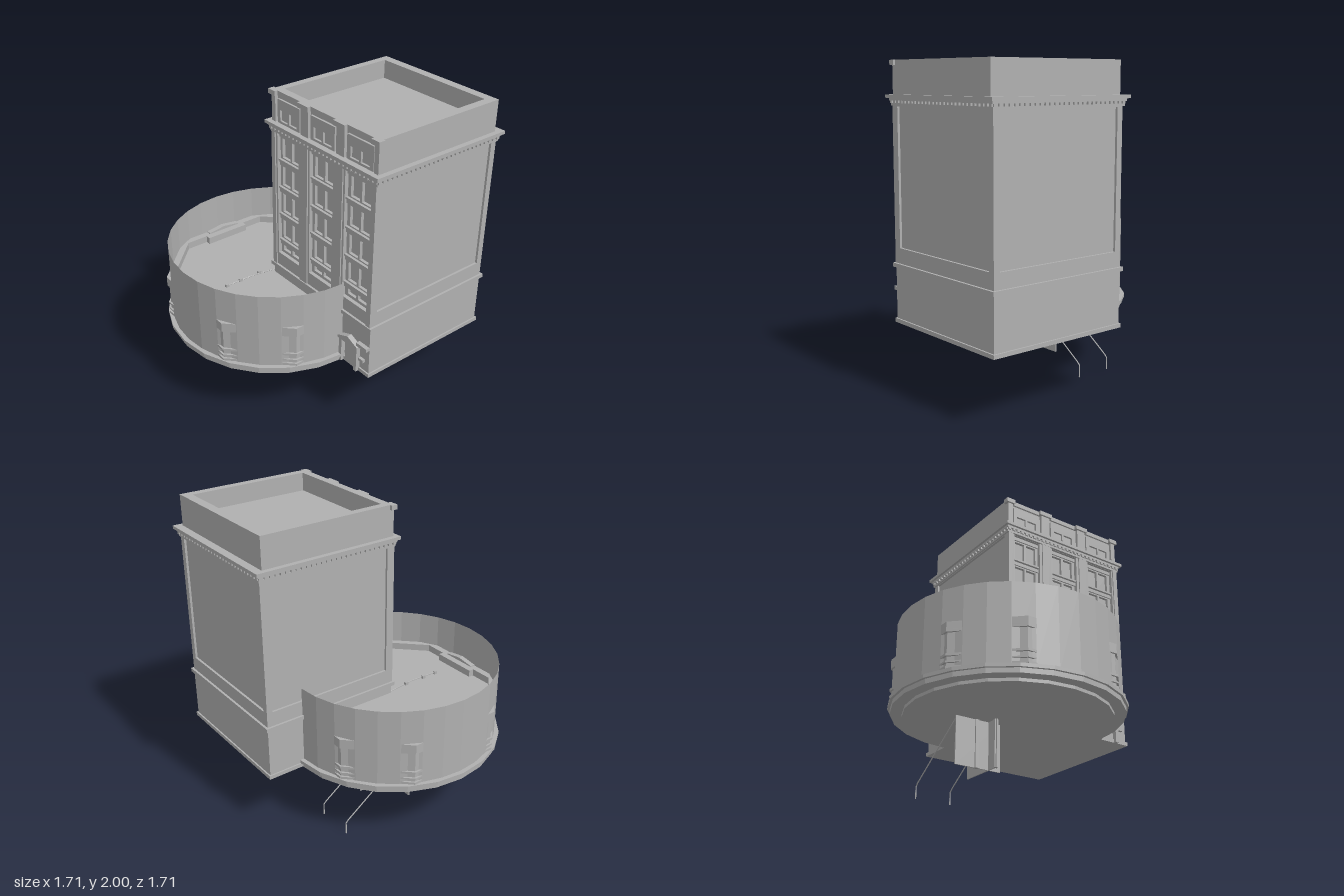
import * as THREE from 'three';

const stone = new THREE.MeshStandardMaterial({ color: 0xb0b0b0, flatShading: true, side: THREE.DoubleSide });
stone.name = 'stone grey';

function add(parent, name, geometry, x = 0, y = 0, z = 0) {
  const mesh = new THREE.Mesh(geometry, stone);
  mesh.name = name;
  mesh.position.set(x, y, z);
  parent.add(mesh);
  return mesh;
}

// Box given by its minimum and maximum on each axis
function block(parent, name, x0, x1, y0, y1, z0, z1) {
  return add(parent, name, new THREE.BoxGeometry(x1 - x0, y1 - y0, z1 - z0),
    (x0 + x1) / 2, (y0 + y1) / 2, (z0 + z1) / 2);
}

const toPath = (points) => points.map(([x, y]) => new THREE.Vector2(x, y));
const rect = (x0, x1, y0, y1) => toPath([[x0, y0], [x1, y0], [x1, y1], [x0, y1]]);

// Extruded outline with holes
function plate(outline, holes, depth) {
  const shape = new THREE.Shape(outline);
  for (const h of holes) shape.holes.push(new THREE.Path(h));
  return new THREE.ExtrudeGeometry(shape, { depth, bevelEnabled: false });
}

// Horizontal slab: outline points are (x, z), bottom at y0
function slab(parent, name, points, holes, y0, y1) {
  const flip = (list) => list.map(([x, z]) => new THREE.Vector2(x, -z));
  const g = plate(flip(points), holes.map(flip), y1 - y0);
  g.rotateX(-Math.PI / 2);
  return add(parent, name, g, 0, y0, 0);
}

const C = 0.345; // tower centre is (C, -C)

function squareTier(parent, name, half, y0, y1) {
  block(parent, name, C - half, C + half, y0, y1, -C - half, -C + half);
}

function buildTower() {
  const tower = new THREE.Group();
  tower.name = 'tower';

  block(tower, 'towerCore', -0.115, 0.805, 0.42, 1.76, -0.805, 0.085);
  squareTier(tower, 'baseWall', 0.475, 0.42, 0.88);
  squareTier(tower, 'plinth', 0.485, 0.42, 0.445);
  squareTier(tower, 'baseBand', 0.49, 0.765, 0.79);

  // Framed blank panels on the right, back and left
  for (const turn of [1, 2, 3]) {
    const g = plate(rect(-0.475, 0.475, 0.8, 1.75), [rect(-0.435, 0.435, 0.885, 1.73)], 0.015);
    g.translate(0, 0, 0.46);
    add(tower, 'sidePanelFrame', g, C, 0, -C).rotation.y = turn * Math.PI / 2;
  }

  // Cornice tiers with dentils on four sides
  squareTier(tower, 'corniceLower', 0.484, 1.735, 1.75);
  squareTier(tower, 'corniceMiddle', 0.492, 1.765, 1.78);
  squareTier(tower, 'corniceBed', 0.48, 1.75, 1.765);
  squareTier(tower, 'corniceUpper', 0.508, 1.78, 1.8);
  for (let s = 0; s < 4; s++) {
    const side = new THREE.Group();
    side.name = 'dentilRow';
    side.position.set(C, 0, -C);
    side.rotation.y = s * Math.PI / 2;
    for (let i = 0; i < 28; i++) {
      const x = -0.473 + i * 0.035;
      block(side, 'dentil', x - 0.01, x + 0.01, 1.75, 1.766, 0.475, 0.492);
    }
    tower.add(side);
  }

  // Parapet ring around the sunken roof
  slab(tower, 'parapet', [[-0.13, -0.8], [0.82, -0.8], [0.82, 0.11], [-0.13, 0.11]],
    [[[-0.08, -0.74], [0.765, -0.74], [0.765, 0.07], [-0.08, 0.07]]], 1.8, 2);
  block(tower, 'roof', -0.1, 0.79, 1.8, 1.88, -0.76, 0.08);
  block(tower, 'parapetCoping', -0.13, 0.82, 1.97, 2, 0.1, 0.122);

  // Front wall with three tall window bays
  const bays = [[-0.08, 0.13], [0.235, 0.45], [0.555, 0.775]];
  const front = plate(rect(-0.13, 0.82, 0.79, 1.75),
    bays.map(([a, b]) => rect(a, b, 0.88, 1.74)), 0.045);
  add(tower, 'frontWall', front, 0, 0, 0.085);

  const floors = [[0.79, 0.98], [0.98, 1.17], [1.17, 1.36], [1.36, 1.55], [1.55, 1.74]];
  for (const [a, b] of bays) {
    const m = (a + b) / 2;
    floors.forEach(([y0, y1], i) => {
      const low = i ? y0 : 0.88;
      const paneLow = i ? y0 + 0.015 : 0.9;
      const panes = [rect(m - 0.085, m - 0.008, paneLow, y1 - 0.045),
        rect(m + 0.008, m + 0.085, paneLow, y1 - 0.045)];
      add(tower, 'windowFrame', plate(rect(a, b, low, y1), panes, 0.02), 0, 0, 0.085);
      block(tower, 'spandrel', a, b, y1 - 0.036, y1 - 0.012, 0.1, 0.114);
      block(tower, 'windowSill', a, b, y1 - 0.006, y1 + 0.006, 0.1, 0.122);
    });
    // Attic windows in the parapet
    add(tower, 'atticWindowFrame', plate(rect(a, b, 1.8, 1.95),
      [rect(m - 0.08, m - 0.007, 1.815, 1.885), rect(m + 0.007, m + 0.08, 1.815, 1.885)], 0.014), 0, 0, 0.11);
  }

  // Pilasters, thin ribs and their caps
  for (const [a, b] of [[-0.13, -0.095], [0.15, 0.22], [0.47, 0.54], [0.785, 0.82]]) {
    block(tower, 'pilaster', a, b, 0.79, 1.74, 0.125, 0.138);
    block(tower, 'atticPilaster', a, b, 1.8, 1.97, 0.105, 0.13);
    block(tower, 'pilasterCap', a - 0.017, b + 0.012, 1.97, 2, 0.1, 0.143);
  }

  // Entrance with columns and pediment
  for (const x of [0.585, 0.725]) block(tower, 'doorColumn', x - 0.012, x + 0.012, 0.42, 0.6, 0.125, 0.16);
  block(tower, 'door', 0.61, 0.7, 0.42, 0.575, 0.125, 0.14);
  block(tower, 'doorLintel', 0.565, 0.745, 0.59, 0.608, 0.125, 0.165);
  add(tower, 'doorPediment', plate(toPath([[0.565, 0.608], [0.745, 0.608], [0.655, 0.645]]), [], 0.035), 0, 0, 0.13);
  block(tower, 'signBoard', 0.73, 0.82, 0.617, 0.64, 0.13, 0.158);
  block(tower, 'signBracket', 0.745, 0.785, 0.51, 0.53, 0.13, 0.15);
  return tower;
}

function buildDrum() {
  const drum = new THREE.Group();
  drum.name = 'roundCourt';
  drum.position.set(-0.128, 0, 0.128);

  // Three quarter screen wall standing on full discs
  add(drum, 'roundWall', new THREE.CylinderGeometry(0.697, 0.697, 0.515, 24, 1, true, Math.PI, Math.PI * 1.5), 0, 0.7175, 0);
  add(drum, 'flangeUpper', new THREE.CylinderGeometry(0.727, 0.727, 0.022, 24), 0, 0.456, 0);
  add(drum, 'flangeLower', new THREE.CylinderGeometry(0.712, 0.712, 0.03, 24), 0, 0.43, 0);
  add(drum, 'underside', new THREE.CylinderGeometry(0.64, 0.64, 0.03, 24), 0, 0.41, 0);

  // Octagonal block inside, its corners just passing the wall
  const octagon = (s) => [[0.32, 0.645], [0.645, 0.32], [0.645, -0.32], [0.32, -0.645],
    [-0.32, -0.645], [-0.645, -0.32], [-0.645, 0.32], [-0.32, 0.645]].map(([x, z]) => [x * s, z * s]);
  slab(drum, 'octagonBlock', octagon(0.982), [], 0.44, 0.705);
  for (const [y0, y1, s] of [[0.47, 0.485, 1], [0.505, 0.515, 1], [0.545, 0.56, 1], [0.69, 0.705, 1]]) {
    slab(drum, 'octagonLedge', octagon(s), [], y0, y1);
  }

  // Kerb with a step on each of the four sides
  const inner = [];
  const half = [[-0.305, 0.6], [-0.155, 0.6], [-0.155, 0.565], [0.155, 0.565], [0.155, 0.6], [0.305, 0.6]];
  for (let k = 0; k < 4; k++) {
    const c = Math.round(Math.cos(k * Math.PI / 2)), s = Math.round(Math.sin(k * Math.PI / 2));
    for (const [x, z] of half) inner.push([x * c + z * s, -x * s + z * c]);
  }
  slab(drum, 'kerb', octagon(1), [inner], 0.705, 0.752);

  // Low gables on the kerb
  for (let k = 0; k < 4; k++) {
    const g = plate(toPath([[-0.12, 0.745], [0.12, 0.745], [0.12, 0.758], [0, 0.775], [-0.12, 0.758]]), [], 0.035);
    g.translate(0, 0, 0.61);
    add(drum, 'kerbGable', g).rotation.y = k * Math.PI / 2;
  }
  return drum;
}

function rod(parent, name, points, radius) {
  const path = new THREE.CurvePath();
  const v = points.map((p) => new THREE.Vector3(...p));
  for (let i = 1; i < v.length; i++) path.add(new THREE.LineCurve3(v[i - 1], v[i]));
  add(parent, name, new THREE.TubeGeometry(path, 24, radius, 5));
}

export function createModel() {
  const model = new THREE.Group();
  model.name = 'towerWithRoundCourt';
  model.add(buildTower(), buildDrum());

  // Thin fittings projecting over the court
  rod(model, 'lampRod', [[-0.135, 0.72, 0.13], [-0.135, 0.74, 0.3], [-0.14, 0.74, 0.51]], 0.004);
  for (const z of [0.25, 0.4, 0.505]) block(model, 'lampHead', -0.15, -0.132, 0.73, 0.75, z - 0.01, z + 0.012);

  // Crossed plates below the court
  block(model, 'crossPlateWide', -0.445, -0.13, 0.095, 0.4, 0.038, 0.046);
  block(model, 'crossPlateDeep', -0.214, -0.206, 0.095, 0.4, -0.185, 0.135);
  block(model, 'crossPlateRib', -0.31, -0.285, 0.095, 0.4, 0.03, 0.055);
  block(model, 'crossPlateRib', -0.222, -0.196, 0.095, 0.4, 0.11, 0.125);

  // Bent legs
  for (const x of [-0.415, -0.168]) {
    rod(model, 'bentLeg', [[x, 0.4, 0], [x, 0.085, -0.452], [x, 0, -0.452]], 0.004);
  }
  return model;
}
